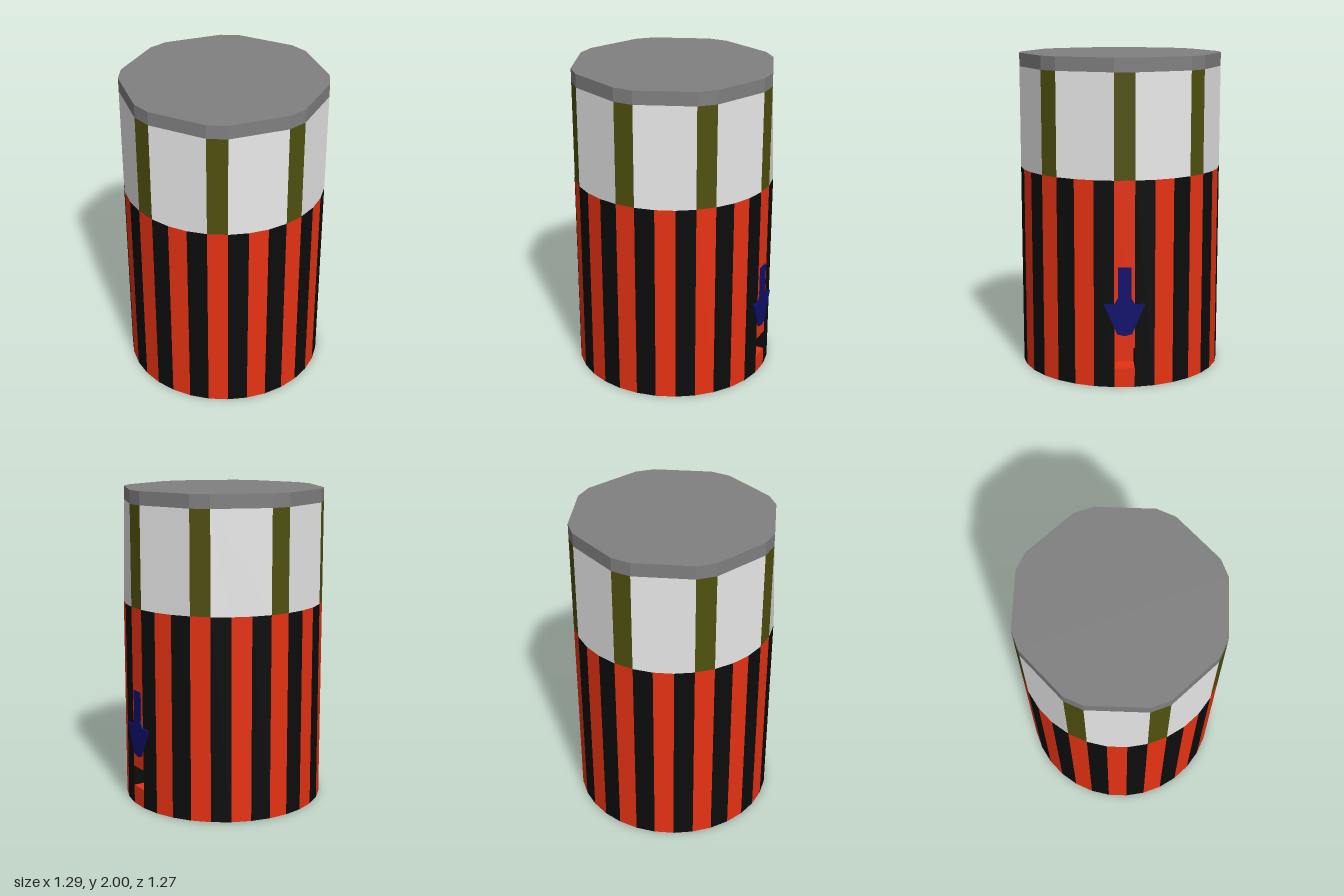
import * as THREE from 'three';

const R = 0.637, SIDES = 32, CX = -0.007;
const STEP = (Math.PI * 2) / SIDES;
const Y_BAND = 1.28, Y_CAP = 1.915, Y_TOP = 2;
const POCKET_FACE = 8, POCKET_LOW = 0.12, POCKET_HIGH = 0.25, POCKET_DEPTH = 0.13;

const mat = (name, color) => {
  const m = new THREE.MeshStandardMaterial({ color });
  m.name = name;
  return m;
};

// Point on the rim: k counts sides from the front towards the model's left
const rim = (k, y) => new THREE.Vector3(R * Math.sin(k * STEP), y, R * Math.cos(k * STEP));

// Flat-shaded mesh from polygons (counter-clockwise from outside), one normal per polygon
function polyMesh(name, material, polys) {
  const pos = [], nor = [];
  for (const p of polys) {
    const n = new THREE.Vector3();
    p.forEach((a, i) => n.add(a.clone().cross(p[(i + 1) % p.length])));
    n.normalize();
    for (let i = 1; i < p.length - 1; i++) {
      for (const v of [p[0], p[i], p[i + 1]]) {
        pos.push(v.x, v.y, v.z);
        nor.push(n.x, n.y, n.z);
      }
    }
  }
  const g = new THREE.BufferGeometry();
  g.setAttribute('position', new THREE.Float32BufferAttribute(pos, 3));
  g.setAttribute('normal', new THREE.Float32BufferAttribute(nor, 3));
  const mesh = new THREE.Mesh(g, material);
  mesh.name = name;
  return mesh;
}

const wall = (k0, k1, y0, y1) => [rim(k0, y1), rim(k0, y0), rim(k1, y0), rim(k1, y1)];

export function createModel() {
  const red = mat('red', 0xe73213);
  const black = mat('black', 0x0c0c0c);
  const white = mat('white', 0xe7e7e7);
  const olive = mat('olive', 0x50500f);
  const grey = mat('grey', 0x808080);
  const navy = mat('navy', 0x10106c);

  const model = new THREE.Group();
  model.name = 'stripedCanister';

  // Lower body: alternating stripes, one stripe left open for the pocket
  const redStripes = [], blackStripes = [];
  for (let k = 0; k < SIDES; k++) {
    if (k === POCKET_FACE) {
      redStripes.push(wall(k, k + 1, 0, POCKET_LOW), wall(k, k + 1, POCKET_HIGH, Y_BAND));
    } else {
      (k % 2 ? blackStripes : redStripes).push(wall(k, k + 1, 0, Y_BAND));
    }
  }
  model.add(polyMesh('redStripes', red, redStripes));
  model.add(polyMesh('blackStripes', black, blackStripes));

  // Pocket sunk straight into its stripe
  const angle = (POCKET_FACE + 0.5) * STEP;
  const sink = new THREE.Vector3(Math.sin(angle), 0, Math.cos(angle)).multiplyScalar(-POCKET_DEPTH);
  const [oTL, oBL, oBR, oTR] = wall(POCKET_FACE, POCKET_FACE + 1, POCKET_LOW, POCKET_HIGH);
  const [iTL, iBL, iBR, iTR] = [oTL, oBL, oBR, oTR].map((v) => v.clone().add(sink));
  model.add(polyMesh('pocketBack', red, [
    [iTL, iBL, iBR, iTR],
    [iBL, oBL, oBR, iBR],
    [oTL, iTL, iTR, oTR],
  ]));
  model.add(polyMesh('pocketSides', black, [
    [oTL, oBL, iBL, iTL],
    [iTR, iBR, oBR, oTR],
  ]));

  // Upper body: narrow posts, and wide panels from a round foot to a straight top
  const posts = [], panels = [], capSides = [], capTop = [];
  for (let k = 0; k < SIDES; k += 4) {
    posts.push(wall(k, k + 1, Y_BAND, Y_CAP));
    const foot = [1, 2, 3, 4].map((i) => rim(k + i, Y_BAND));
    panels.push([rim(k + 1, Y_CAP), ...foot, rim(k + 4, Y_CAP)]);
    capSides.push(wall(k, k + 1, Y_CAP, Y_TOP), wall(k + 1, k + 4, Y_CAP, Y_TOP));
    capTop.push(rim(k, Y_TOP), rim(k + 1, Y_TOP));
  }
  model.add(polyMesh('olivePosts', olive, posts));
  model.add(polyMesh('whitePanels', white, panels));

  // Cap and base
  model.add(polyMesh('cap', grey, [...capSides, capTop]));
  const base = [];
  for (let k = SIDES; k > 0; k--) base.push(rim(k, 0));
  model.add(polyMesh('base', grey, [base]));

  // Arrow plate above the pocket, pointing down at it
  const half = [[0.04, 0.753], [0.04, 0.565], [0.062, 0.525], [0.125, 0.525], [0.045, 0.338]];
  const outline = [...half, [0, 0.326], ...half.map(([x, y]) => [-x, y]).reverse()];
  const arrowShape = new THREE.Shape(outline.map(([x, y]) => new THREE.Vector2(x, y)));
  const arrowGeo = new THREE.ExtrudeGeometry(arrowShape, { depth: 0.016, bevelEnabled: false });
  const apothem = R * Math.cos(STEP / 2);
  arrowGeo.translate(0, 0, apothem - 0.009);
  const arrow = new THREE.Mesh(arrowGeo, navy);
  arrow.name = 'arrow';
  arrow.rotation.y = angle;
  model.add(arrow);

  model.children.forEach((part) => { part.position.x = CX; });
  return model;
}
